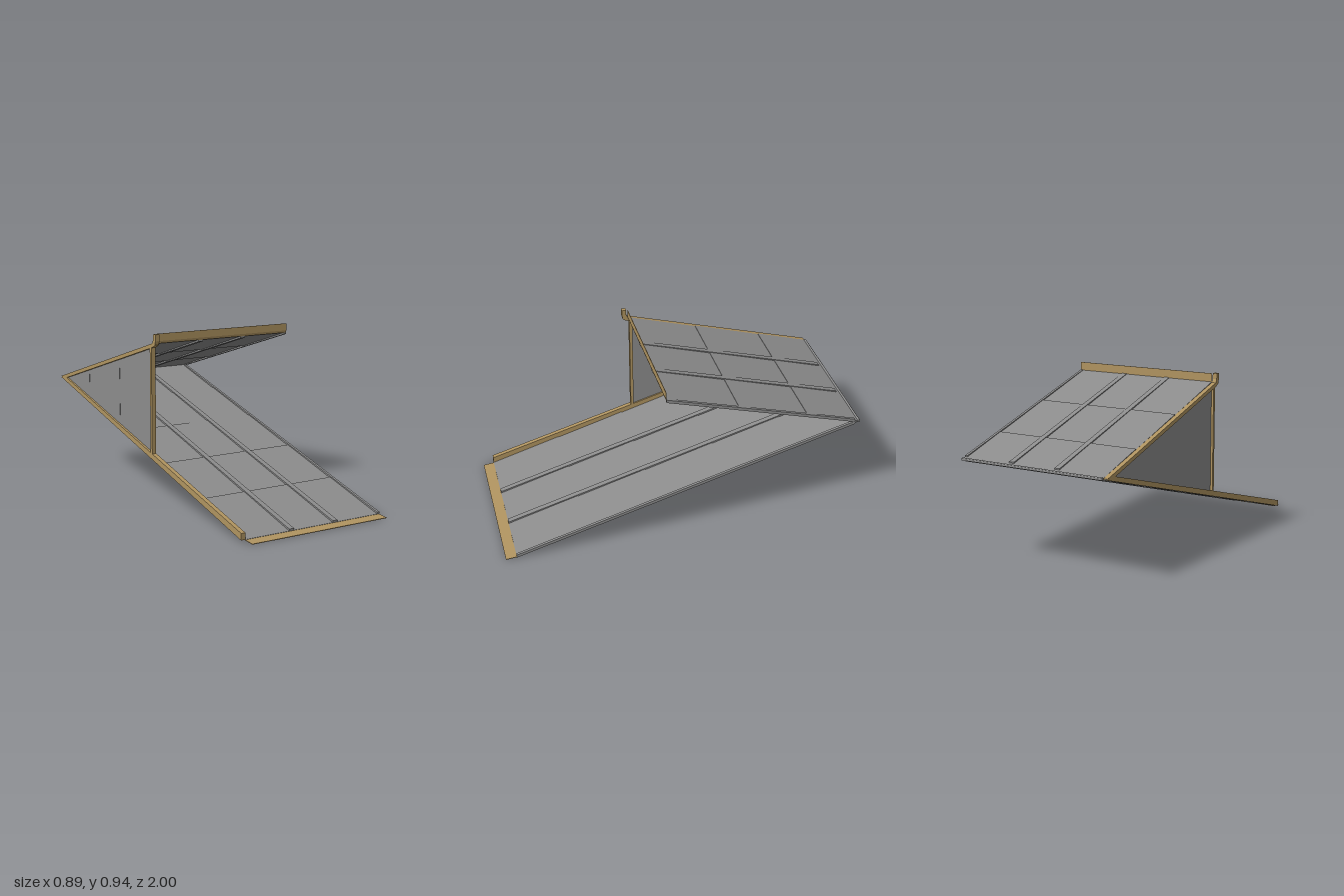
import * as THREE from 'three';

const grey = new THREE.MeshStandardMaterial({ color: 0x8c8c8c });
grey.name = 'sheet grey';
grey.side = THREE.DoubleSide;
const tan = new THREE.MeshStandardMaterial({ color: 0xb09460 });
tan.name = 'trim tan';
tan.side = THREE.DoubleSide;

const LEFT = -0.42, RIGHT = 0.445, OUTER = -0.445;
const rampY = z => 0.01 + (0.94 - z) * 0.286;   // underside of the lower slope
const roofY = z => 0.565 + (z + 1) * 0.295;     // top of the upper slope

export function createModel() {
  const model = new THREE.Group();
  model.name = 'foldedPanelShelter';

  const add = (name, geometry, material) => {
    const mesh = new THREE.Mesh(geometry, material);
    mesh.name = name;
    model.add(mesh);
  };

  // Side profile given as [z, y] points, extruded between x0 and x1
  const slab = (name, points, x0, x1, material) => {
    const shape = new THREE.Shape(points.map(([z, y]) => new THREE.Vector2(z, y)));
    const g = new THREE.ExtrudeGeometry(shape, { depth: x1 - x0, bevelEnabled: false });
    g.rotateY(-Math.PI / 2);
    g.translate(x1, 0, 0);
    add(name, g, material);
  };

  // Strip following a slope from z0 to z1, with offsets below and above it
  const strip = (name, f, z0, z1, low, high, x0, x1, material) =>
    slab(name, [[z0, f(z0) + low], [z1, f(z1) + low], [z1, f(z1) + high], [z0, f(z0) + high]], x0, x1, material);

  // Lapped sheets: the front end of each one stands slightly proud
  const sheets = (name, f, stops, out) => {
    for (let i = 0; i < stops.length - 1; i++) {
      const a = stops[i], b = stops[i + 1];
      const t = -out * 0.005;
      slab(name + (i + 1), [
        [a, f(a)], [b, f(b) + out * 0.004],
        [b, f(b) + t + out * 0.004], [a, f(a) + t]
      ], LEFT, RIGHT, grey);
    }
  };
  sheets('rampSheet', rampY, [-1, -0.63, -0.24, 0.15, 0.54, 0.94], -1);
  sheets('roofSheet', roofY, [-1, -0.69, -0.3, 0.1], 1);

  // Long ribs over the joints, standing out on both faces
  for (const [x0, x1] of [[-0.15, -0.12], [0.13, 0.16], [0.43, RIGHT]]) {
    strip('rampRib', rampY, -0.97, 0.94, -0.007, 0.011, x0, x1, grey);
    strip('roofRib', roofY, -0.97, 0.1, -0.011, 0.007, x0, x1, grey);
  }

  // Rounded fold along the back
  const fold = new THREE.CylinderGeometry(0.007, 0.007, RIGHT - LEFT, 12);
  fold.rotateZ(Math.PI / 2);
  fold.translate((LEFT + RIGHT) / 2, 0.567, -0.993);
  add('backFold', fold, grey);

  // Triangular side wall in three upright panels
  const stops = [-0.99, -0.64, -0.28, 0.085];
  for (let i = 0; i < 3; i++) {
    const a = stops[i], b = stops[i + 1], x = -0.434 + i * 0.001;
    slab('wallPanel' + (i + 1), [
      [a, rampY(a) + 0.002], [b, rampY(b) + 0.002],
      [b, roofY(b) - 0.004], [a, roofY(a) - 0.004]
    ], x, x + 0.004, grey);
  }

  // Wall edging: lower rail, upper rail with upturned end, front post
  slab('lowerRail', [
    [0.94, rampY(0.94)], [0.94, rampY(0.94) + 0.036],
    [-0.94, rampY(-0.94) + 0.026], [-0.99, rampY(-0.99)]
  ], OUTER, LEFT, tan);
  slab('upperRail', [
    [-0.99, roofY(-0.99)], [-0.93, roofY(-0.93) - 0.022], [0.09, roofY(0.09) - 0.022],
    [0.115, 0.874], [0.13, 0.885], [0.135, 0.905], [0.135, 0.94],
    [0.11, 0.94], [0.11, 0.908], [0.1, roofY(0.1)]
  ], OUTER, LEFT, tan);
  slab('frontPost', [[0.075, 0.26], [0.092, 0.26], [0.092, 0.87], [0.075, 0.87]], OUTER, LEFT, tan);

  // Thin lips on the front edges of roof and ramp
  slab('roofLip', [[0.1, 0.887], [0.103, 0.9], [0.103, 0.94], [0.1, 0.94]], LEFT, RIGHT, tan);
  slab('rampLip', [[0.935, 0.006], [1, 0], [1, 0.003], [0.935, 0.01]], LEFT, RIGHT, tan);

  return model;
}
